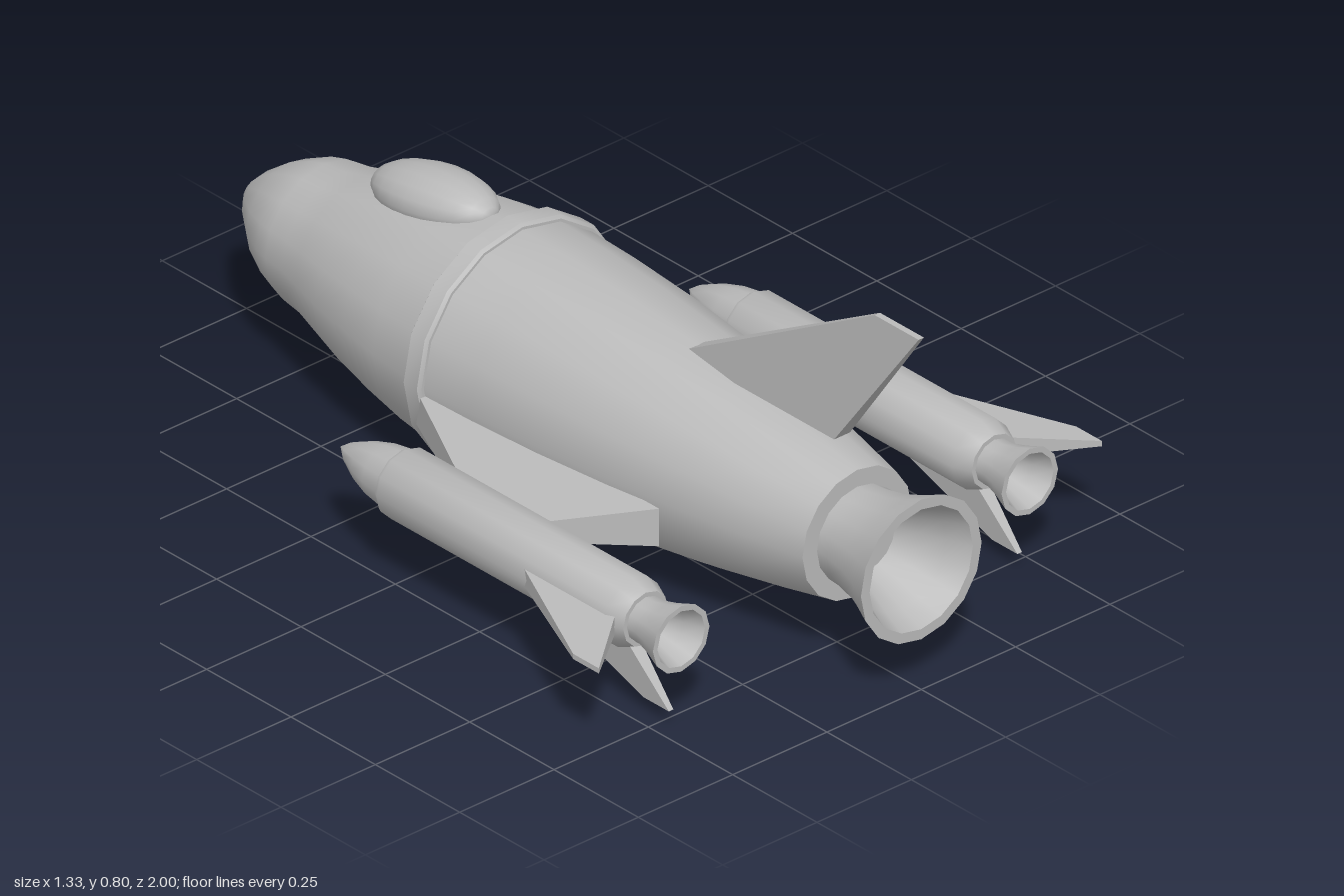
import * as THREE from 'three';
import { toCreasedNormals } from 'three/addons/utils/BufferGeometryUtils.js';

const hullGrey = new THREE.MeshStandardMaterial({ color: 0xbababa });
hullGrey.name = 'hull grey';

function part(name, geometry, parent) {
  const mesh = new THREE.Mesh(geometry, hullGrey);
  mesh.name = name;
  parent.add(mesh);
  return mesh;
}

// Turned part lying along z; profile is a list of [radius, z]
function turned(profile, sides) {
  const points = profile.map(([r, z]) => new THREE.Vector2(r, z));
  const geometry = new THREE.LatheGeometry(points, sides).rotateX(Math.PI / 2);
  return toCreasedNormals(geometry, 0.7);
}

// Tapered blade reaching out along x; each end is [x, front z, back z, half thickness]
function blade(root, tip) {
  const geometry = new THREE.BoxGeometry(1, 1, 1).toNonIndexed();
  const p = geometry.attributes.position;
  for (let i = 0; i < p.count; i++) {
    const [x, front, back, half] = p.getX(i) < 0 ? root : tip;
    p.setXYZ(i, x, Math.sign(p.getY(i)) * half, p.getZ(i) < 0 ? front : back);
  }
  geometry.computeVertexNormals();
  return geometry;
}

function addBooster(parent, side) {
  const pod = new THREE.Group();
  pod.name = side > 0 ? 'leftBooster' : 'rightBooster';
  pod.position.set(side * 0.462, 0.213, 0);
  parent.add(pod);

  part('boosterNose', turned([
    [0, -0.205], [0.022, -0.175], [0.045, -0.125], [0.06, -0.075], [0.068, -0.02], [0, -0.02]], 12), pod);
  part('boosterBody', turned([
    [0, -0.022], [0.072, -0.022], [0.077, -0.012], [0.077, 0.66], [0.06, 0.7], [0, 0.7]], 12), pod);
  part('boosterNozzle', turned([
    [0.05, 0.69], [0.05, 0.725], [0.059, 0.76], [0.075, 0.805],
    [0.063, 0.805], [0.047, 0.76], [0.036, 0.72], [0, 0.72]], 12), pod);

  const outer = part('boosterSideFin',
    blade([0.06, 0.395, 0.676, 0.021], [0.205, 0.714, 0.79, 0.006]), pod);
  outer.rotation.z = side > 0 ? 0 : Math.PI;
  const lower = part('boosterLowerFin',
    blade([0.06, 0.39, 0.66, 0.016], [0.177, 0.7, 0.775, 0.006]), pod);
  lower.rotation.z = -Math.PI / 2;
}

export function createModel() {
  const ship = new THREE.Group();
  ship.name = 'rocketShip';

  // Main hull, turned about a shared axis
  const hull = new THREE.Group();
  hull.name = 'hull';
  hull.position.y = 0.277;
  ship.add(hull);
  part('noseSection', turned([
    [0, -1], [0.035, -0.972], [0.066, -0.94], [0.115, -0.873], [0.145, -0.81], [0.156, -0.77],
    [0.163, -0.715], [0.18, -0.655], [0.204, -0.57], [0.228, -0.46], [0.247, -0.35],
    [0.26, -0.23], [0, -0.23]], 16), hull);
  part('collarRing', turned([
    [0, -0.233], [0.268, -0.233], [0.275, -0.227], [0.275, -0.188], [0.268, -0.182], [0, -0.182]], 16), hull);
  part('rearSection', turned([
    [0, -0.19], [0.262, -0.19], [0.258, -0.05], [0.247, 0.13], [0.228, 0.32],
    [0.203, 0.5], [0.173, 0.67], [0.145, 0.81], [0, 0.81]], 16), hull);
  part('mainNozzle', turned([
    [0.106, 0.8], [0.108, 0.84], [0.12, 0.9], [0.138, 0.95], [0.16, 1],
    [0.137, 1], [0.115, 0.945], [0.09, 0.89], [0.073, 0.84], [0, 0.84]], 16), hull);

  // Bubble canopy, dipping toward the nose
  const canopy = part('canopy', new THREE.SphereGeometry(1, 16, 12).rotateX(Math.PI / 2), ship);
  canopy.scale.set(0.085, 0.062, 0.17);
  canopy.position.set(0, 0.504, -0.44);
  canopy.rotation.x = -0.155;

  // Tail fin and wings
  const tail = part('tailFin', blade([0.48, 0.3, 0.765, 0.021], [0.805, 0.87, 1, 0.007]), ship);
  tail.rotation.z = Math.PI / 2;
  for (const side of [1, -1]) {
    const wing = part(side > 0 ? 'leftWing' : 'rightWing',
      blade([0.212, -0.3, 0.46, 0.043], [0.41, 0.1, 0.31, 0.022]), ship);
    wing.position.y = 0.22;
    wing.rotation.z = side > 0 ? 0 : Math.PI;
    addBooster(ship, side);
  }

  // Gun under the nose
  const gun = new THREE.Group();
  gun.name = 'gun';
  gun.position.y = 0.034;
  ship.add(gun);
  part('gunBarrel', turned([
    [0, -0.68], [0.013, -0.68], [0.016, -0.52], [0.011, -0.5], [0.011, -0.34], [0, -0.34]], 10), gun);
  for (const z of [-0.409, -0.508]) {
    part('gunRing', turned([
      [0, z - 0.008], [0.024, z - 0.008], [0.024, z + 0.008], [0, z + 0.008]], 10), gun);
  }
  part('gunMuzzle', new THREE.SphereGeometry(0.026, 12, 8), gun).position.z = -0.676;

  return ship;
}
